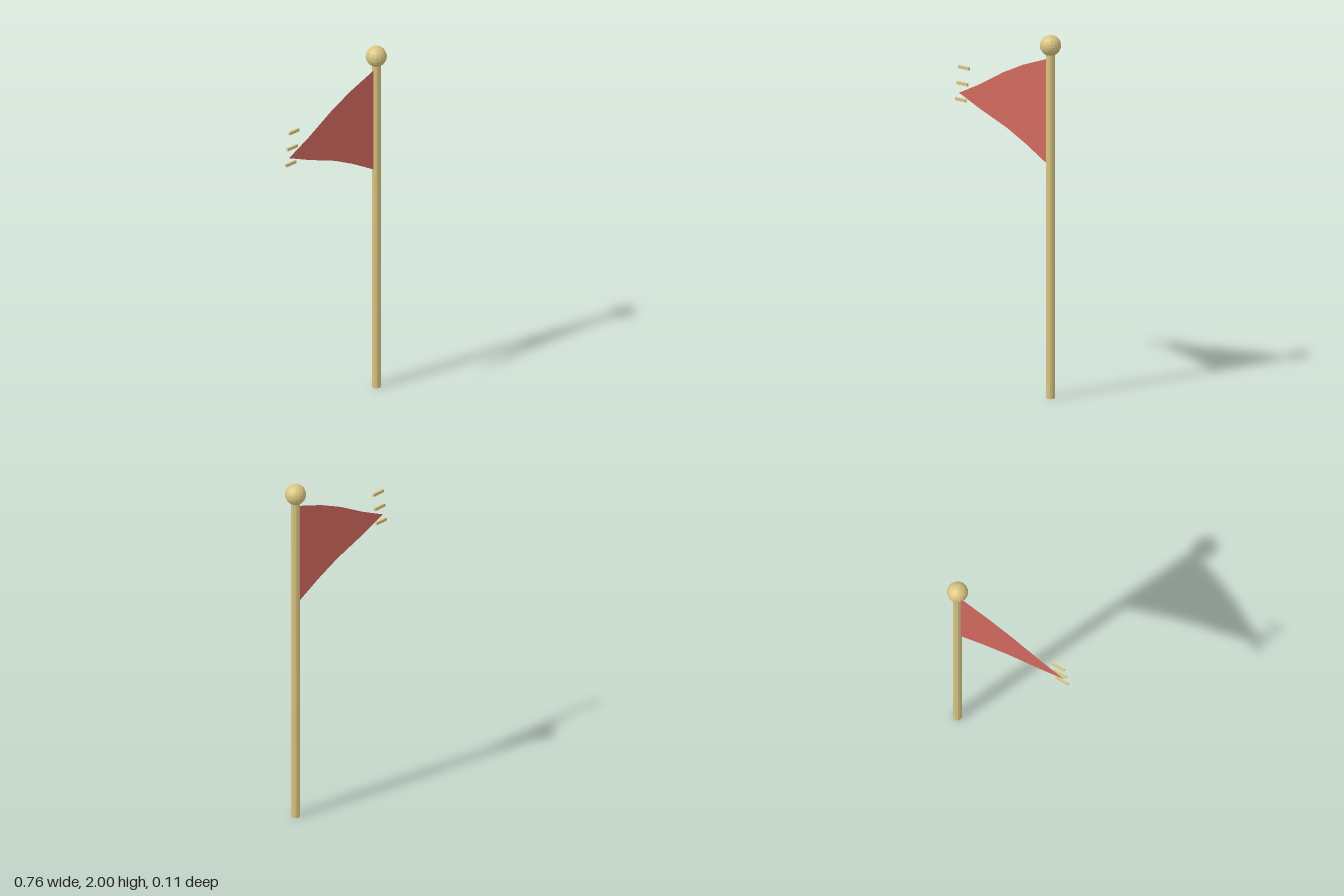
import * as THREE from 'three';

const POLE_X = 0.32;

export function createModel() {
  const model = new THREE.Group();
  model.name = 'pennantOnPole';

  const brass = new THREE.MeshStandardMaterial({ color: 0xd9c582, flatShading: true });
  brass.name = 'pale brass';
  const cloth = new THREE.MeshStandardMaterial({ color: 0xd2695f, side: THREE.DoubleSide });
  cloth.name = 'red cloth';

  const add = (name, geometry, material, x, y, z = 0) => {
    const mesh = new THREE.Mesh(geometry, material);
    mesh.name = name;
    mesh.position.set(x, y, z);
    model.add(mesh);
    return mesh;
  };

  // Pole and the ball on top
  add('pole', new THREE.CylinderGeometry(0.024, 0.024, 1.92, 10), brass, POLE_X, 0.96);
  add('finial', new THREE.SphereGeometry(0.057, 16, 12), brass, POLE_X, 1.943);

  // Flat pennant with gently curved edges, tucked into the pole
  const outline = [
    [0.31, 1.869], [0.297, 1.865], [0.12, 1.803], [-0.03, 1.735], [-0.2, 1.641],
    [-0.355, 1.567],
    [-0.2, 1.505], [0, 1.434], [0.14, 1.369], [0.297, 1.285], [0.31, 1.278],
  ];
  const pennant = new THREE.Shape(outline.map(([x, y]) => new THREE.Vector2(x, y)));
  add('pennant', new THREE.ShapeGeometry(pennant), cloth, 0, 0);

  // Three small bars near the tip
  for (let i = 0; i < 3; i++) {
    add(`tipBar${i + 1}`, new THREE.BoxGeometry(0.077, 0.016, 0.011), brass,
      -0.317 - i * 0.0125, 1.711 - i * 0.09);
  }

  return model;
}
